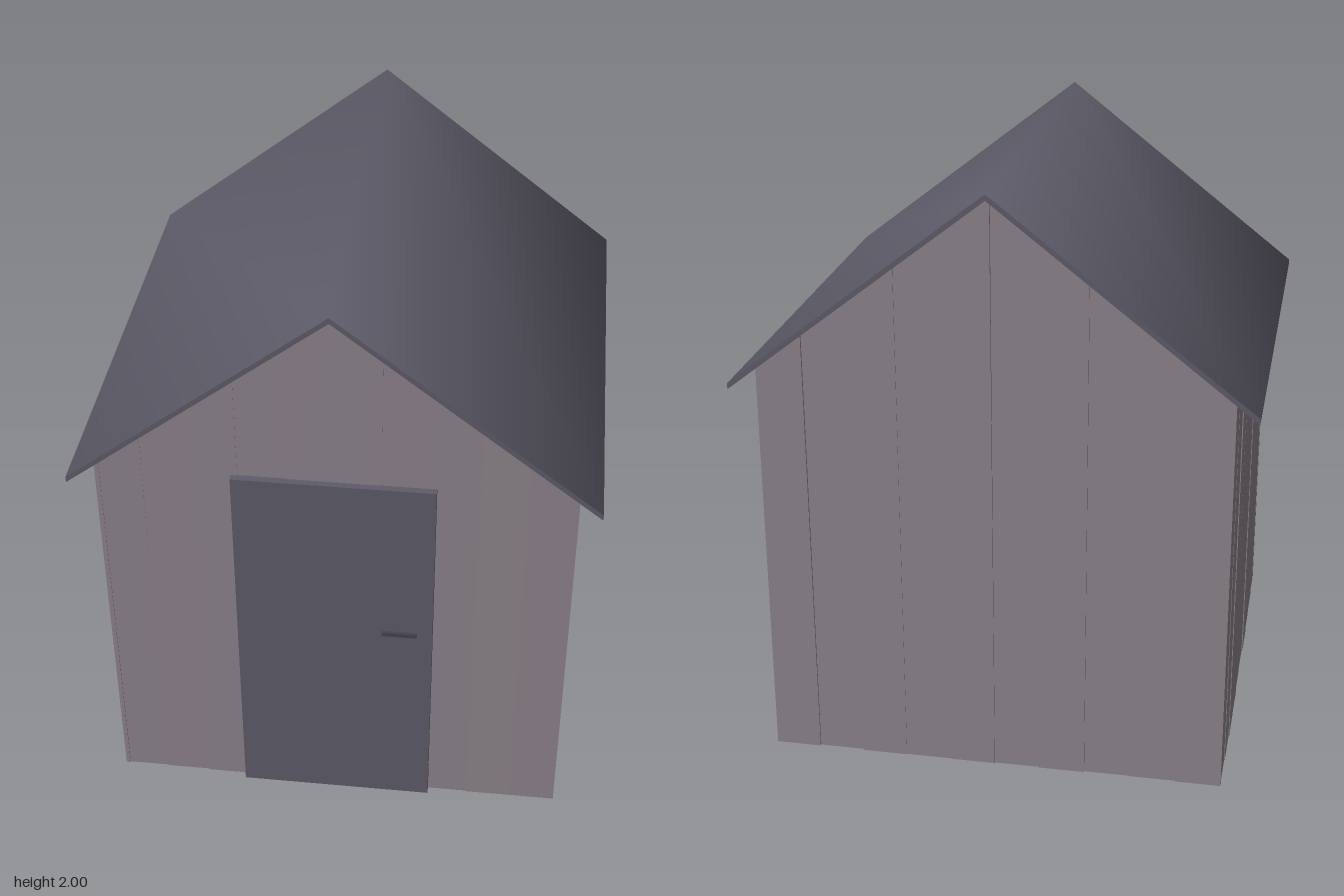
import * as THREE from 'three';
import { toCreasedNormals } from 'three/addons/utils/BufferGeometryUtils.js';

const wood = new THREE.MeshStandardMaterial({ color: 0x8c838a });
wood.name = 'weatheredWood';
const slate = new THREE.MeshStandardMaterial({ color: 0x5e5c69 });
slate.name = 'slateGrey';
const iron = new THREE.MeshStandardMaterial({ color: 0x45434e });
iron.name = 'darkIron';

const RIDGE = 2, EAVE_X = 0.84, EAVE_Y = 1.345, ROOF_T = 0.02;
const WALL = 0.765, PLANKS = 10, PLANK_T = 0.014;
const SLOPE = (RIDGE - EAVE_Y) / EAVE_X;
const roofUnder = (x) => RIDGE - ROOF_T - SLOPE * Math.abs(x);

// small seeded random in -1..1 for uneven planks
let seed = 7;
function jitter() {
  seed = (seed * 16807) % 2147483647;
  return (seed / 2147483647) * 2 - 1;
}

function extrude(points, depth) {
  const shape = new THREE.Shape(points.map(([x, y]) => new THREE.Vector2(x, y)));
  return new THREE.ExtrudeGeometry(shape, { depth, bevelEnabled: false });
}

function box(name, material, size, position) {
  const mesh = new THREE.Mesh(new THREE.BoxGeometry(...size), material);
  mesh.name = name;
  mesh.position.set(...position);
  return mesh;
}

// wall of upright boards facing +z, topped by topAt(x), with an optional door opening
function plankWall(name, topAt, doorHalf = 0, doorTop = 0) {
  const wall = new THREE.Group();
  wall.name = name;
  const w = (2 * WALL) / PLANKS;
  const addPlank = (x0, x1, y0, z, tilt) => {
    const pts = [[x0, y0], [x1, y0], [x1, topAt(x1)], [x0, topAt(x0)]];
    const plank = new THREE.Mesh(extrude(pts, PLANK_T), wood);
    plank.name = 'plank';
    plank.position.z = z;
    plank.rotation.x = tilt;
    wall.add(plank);
  };
  for (let i = 0; i < PLANKS; i++) {
    const x0 = -WALL + i * w, x1 = x0 + w;
    const z = WALL - PLANK_T + jitter() * 0.004;
    const tilt = jitter() * 0.002;
    // the part of the board that lies over the doorway starts above it
    const a = Math.max(x0, -doorHalf), b = Math.min(x1, doorHalf);
    if (b - a > 0.001) {
      addPlank(a, b, doorTop, z, tilt);
      if (a - x0 > 0.001) addPlank(x0, a, 0, z, tilt);
      if (x1 - b > 0.001) addPlank(b, x1, 0, z, tilt);
    } else {
      addPlank(x0, x1, 0, z, tilt);
    }
  }
  return wall;
}

export function createModel() {
  const shed = new THREE.Group();
  shed.name = 'shed';

  // walls, open underneath
  const sideTop = () => roofUnder(WALL) + 0.005;
  const front = plankWall('frontWall', roofUnder, 0.32, 1.345);
  const back = plankWall('backWall', roofUnder);
  back.rotation.y = Math.PI;
  const left = plankWall('leftWall', sideTop);
  left.rotation.y = Math.PI / 2;
  const right = plankWall('rightWall', sideTop);
  right.rotation.y = -Math.PI / 2;
  shed.add(front, back, left, right);

  // thin gabled roof, shaded softly over the ridge
  const roofGeometry = extrude([
    [0, RIDGE], [-EAVE_X, EAVE_Y], [-EAVE_X, EAVE_Y - ROOF_T],
    [0, RIDGE - ROOF_T], [EAVE_X, EAVE_Y - ROOF_T], [EAVE_X, EAVE_Y],
  ], 1.66);
  roofGeometry.translate(0, 0, -0.83);
  const roof = new THREE.Mesh(toCreasedNormals(roofGeometry, THREE.MathUtils.degToRad(80)), slate);
  roof.name = 'roof';
  shed.add(roof);

  // door slab standing proud of the wall, with a bar handle
  shed.add(box('door', slate, [0.65, 1.35, 0.045], [0, 0.675, 0.7675]));
  shed.add(box('doorHandle', iron, [0.115, 0.015, 0.01], [0.215, 0.753, 0.795]));

  return shed;
}
